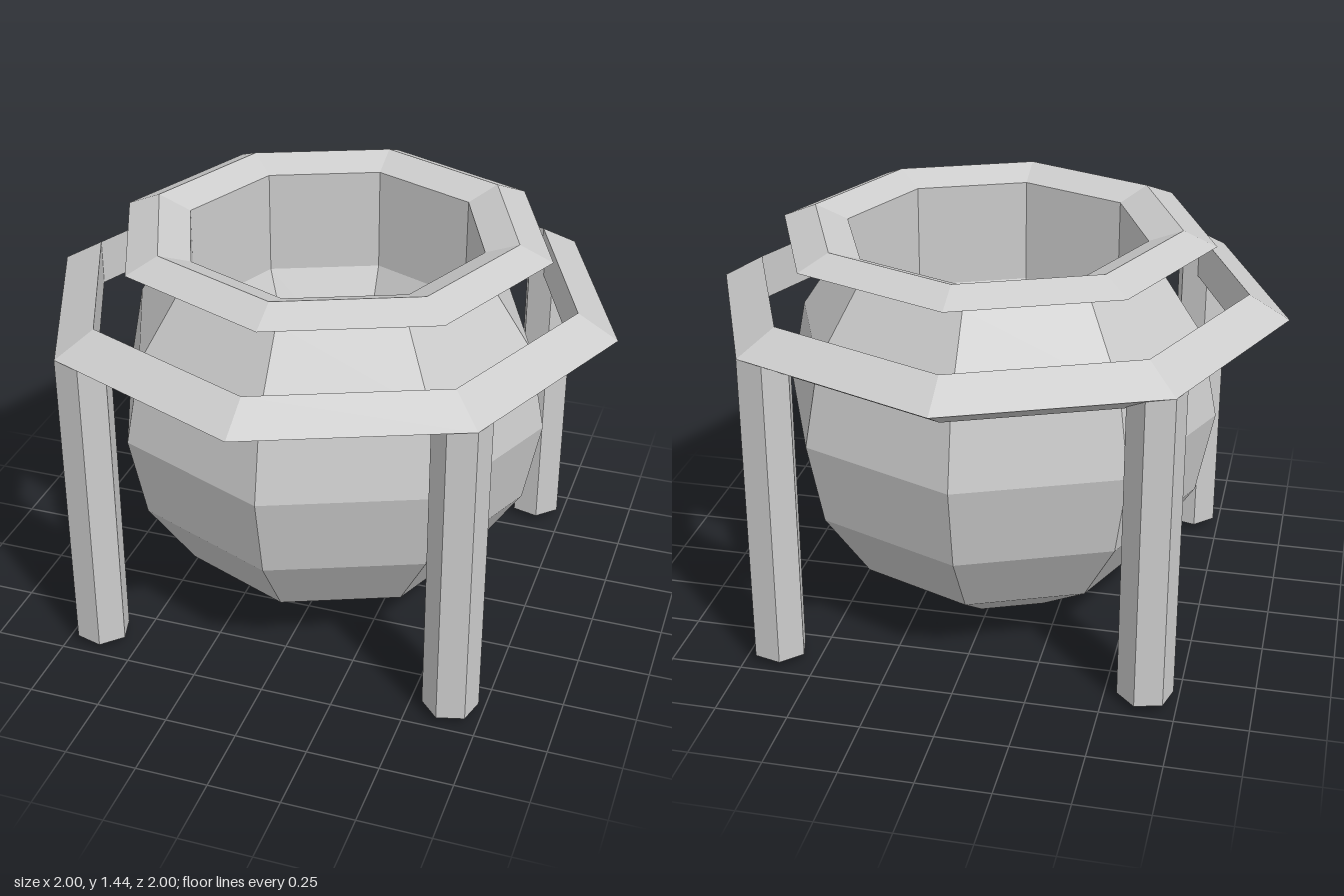
import * as THREE from 'three';

const SIDES = 8;

export function createModel() {
  const group = new THREE.Group();
  group.name = 'cauldron';
  const iron = new THREE.MeshStandardMaterial({ color: 0xcccccc });
  iron.name = 'paleGrey';
  iron.flatShading = true;

  const add = (name, geometry, x = 0, y = 0, z = 0) => {
    const mesh = new THREE.Mesh(geometry, iron);
    mesh.name = name;
    mesh.position.set(x, y, z);
    group.add(mesh);
    return mesh;
  };
  const lathe = (points) =>
    new THREE.LatheGeometry(points.map(([r, y]) => new THREE.Vector2(r, y)), SIDES);

  // Round outer bowl: the lower three quarters of a sphere, then a short neck
  const R = 0.77;
  const outer = [];
  for (let i = 0; i <= 6; i++) {
    const a = (i * Math.PI) / 8;
    outer.push([R * Math.sin(a), R - R * Math.cos(a)]);
  }
  outer.push([0.544, 1.385]);
  add('bowl', lathe(outer));

  // Hollow: straight wall down to a rounded floor
  add('bowlInterior', lathe([[0.525, 1.395], [0.525, 1.02], [0.345, 0.65], [0, 0.5]]), 0.01, 0, -0.01);

  // Flat diamond-section lip, set slightly off centre
  add('rim', lathe([[0.525, 1.395], [0.64, 1.357], [0.755, 1.392], [0.64, 1.44], [0.525, 1.395]]), 0.01, 0, -0.01);

  // Triangular-section support ring
  add('supportRing', lathe([[0.86, 1.067], [1, 1.147], [0.86, 1.228], [0.86, 1.067]]));

  // Four hexagonal legs under the diagonal corners of the ring
  const legHeight = 1.12;
  for (let i = 0; i < 4; i++) {
    const a = Math.PI / 4 + (i * Math.PI) / 2;
    const leg = add('leg', new THREE.CylinderGeometry(0.096, 0.096, legHeight, 6),
      0.905 * Math.sin(a), 0.027 + legHeight / 2, 0.905 * Math.cos(a));
    leg.rotation.y = a;
  }
  return group;
}
